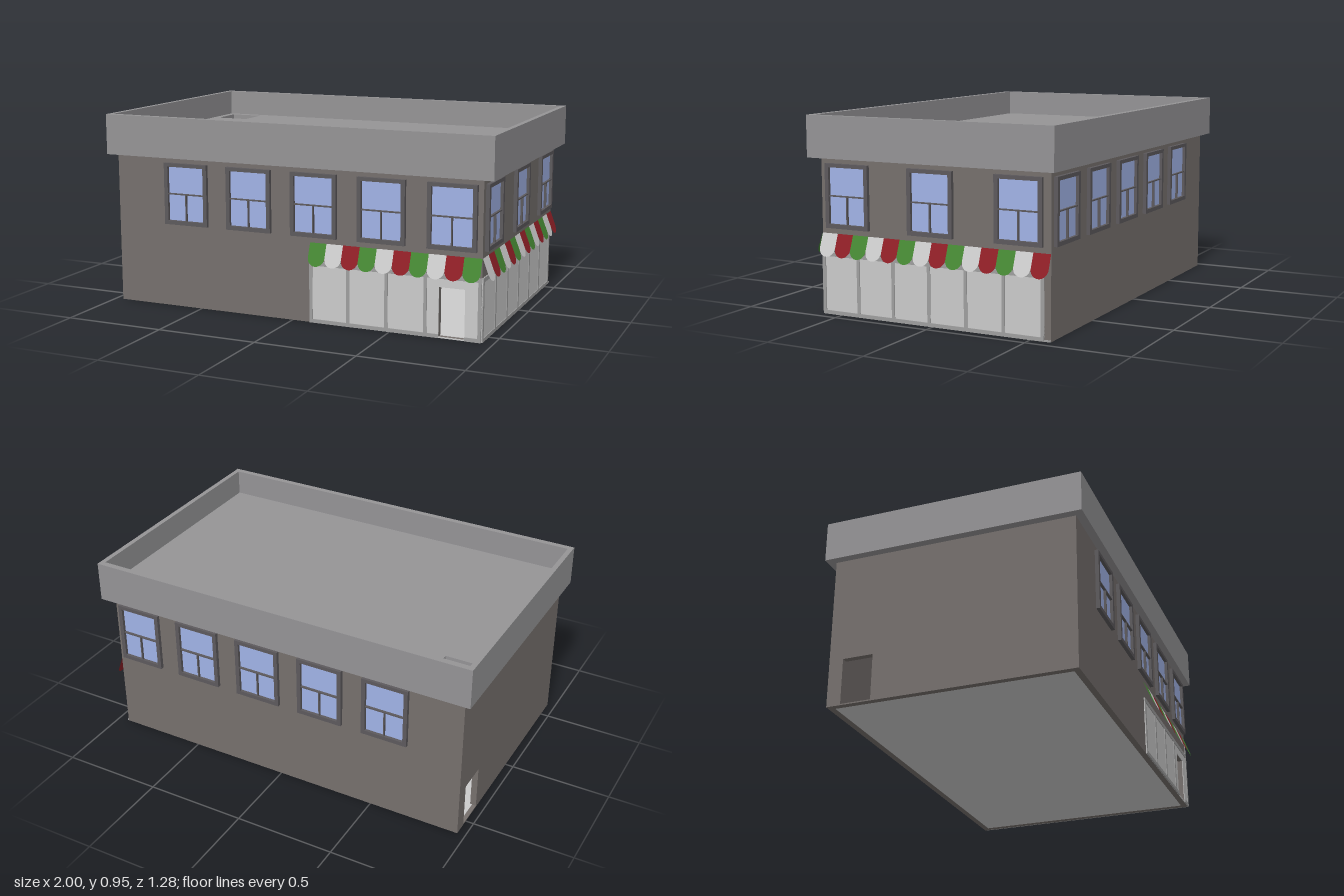
import * as THREE from 'three';

const paint = (color, side = THREE.FrontSide) => new THREE.MeshStandardMaterial({ color, side });
const MAT = {
  wall: paint(0x76706d), roof: paint(0x959496), windowFrame: paint(0x5d5a5d),
  glass: paint(0xa1b3e7), shopFrame: paint(0x9f9f9f), light: paint(0xcccccc),
  green: paint(0x458733, THREE.DoubleSide), white: paint(0xc6c6c6, THREE.DoubleSide),
  red: paint(0x8e1f26, THREE.DoubleSide),
};

function mesh(name, geometry, material, parent) {
  const m = new THREE.Mesh(geometry, material);
  m.name = name;
  parent.add(m);
  return m;
}

function group(name, parent) {
  const g = new THREE.Group();
  g.name = name;
  parent.add(g);
  return g;
}

// Box given by its limits
function box(name, [x0, x1], [y0, y1], [z0, z1], material, parent) {
  const m = mesh(name, new THREE.BoxGeometry(x1 - x0, y1 - y0, z1 - z0), material, parent);
  m.position.set((x0 + x1) / 2, (y0 + y1) / 2, (z0 + z1) / 2);
  return m;
}

const corners = ([x0, x1, y0, y1]) =>
  [[x0, y0], [x1, y0], [x1, y1], [x0, y1]].map(([x, y]) => new THREE.Vector2(x, y));

// Rectangular slab [x0, x1, y0, y1] with rectangular openings
function slab(rect, holes, depth) {
  const shape = new THREE.Shape(corners(rect));
  for (const h of holes) shape.holes.push(new THREE.Path(corners(h).reverse()));
  return new THREE.ExtrudeGeometry(shape, { depth, bevelEnabled: false });
}

// Wall group: local x runs along the wall, local z points outward
const THICK = 0.03;
function wall(name, rect, holes, position, turn, parent) {
  const g = group(name, parent);
  g.position.set(...position);
  g.rotation.y = turn;
  mesh(name + 'Panel', slab(rect, holes, THICK), MAT.wall, g).position.z = -THICK;
  return g;
}

// Sash window with one upper and two lower panes
function addWindow(x, parent) {
  const g = group('window', parent);
  g.position.set(x, 0.57, 0);
  mesh('windowFrame', slab([-0.118, 0.118, -0.153, 0.153], [[-0.098, 0.098, -0.133, 0.135]], 0.018),
    MAT.windowFrame, g);
  box('windowGlass', [-0.099, 0.099], [-0.134, 0.136], [-0.004, 0.003], MAT.glass, g);
  box('crossBar', [-0.098, 0.098], [-0.003, 0.003], [0.002, 0.015], MAT.windowFrame, g);
  box('lowerBar', [-0.003, 0.003], [-0.133, 0], [0.002, 0.015], MAT.windowFrame, g);
}

// Sloping awning made of round-ended strips
function addAwning(x0, x1, count, colors, parent) {
  const g = group('awning', parent);
  g.position.set(0, 0.39, 0.001);
  g.rotation.x = -0.364;
  const pitch = (x1 - x0) / count, r = pitch / 2;
  const shape = new THREE.Shape();
  shape.moveTo(r, 0);
  shape.lineTo(-r, 0);
  shape.lineTo(-r, -0.071);
  shape.absarc(0, -0.071, r, Math.PI, Math.PI * 2, false);
  const geometry = new THREE.ShapeGeometry(shape, 10);
  for (let i = 0; i < count; i++) {
    mesh('awningStrip', geometry, MAT[colors[i % 3]], g).position.x = x0 + (i + 0.5) * pitch;
  }
}

// Shop front: light panels behind thin posts and rails
function addShopFront(x0, x1, posts, doors, parent) {
  const g = group('shopFront', parent);
  mesh('shopPanels', slab([x0, x1, 0, 0.3], doors, 0.003), MAT.light, g);
  for (const x of posts) {
    box('shopPost', [x - 0.008, x + 0.008], [0, 0.3], [0, 0.007], MAT.shopFrame, g);
  }
  box('topRail', [x0, x1], [0.28, 0.3], [0, 0.007], MAT.shopFrame, g);
  // Bottom rail stops at the doorway
  let start = x0;
  for (const d of [...doors, [x1]]) {
    box('bottomRail', [start, d[0]], [0, 0.018], [0, 0.007], MAT.shopFrame, g);
    start = d[1];
  }
}

export function createModel() {
  const model = new THREE.Group();
  model.name = 'cornerShop';
  const L = -0.96, R = 0.943, D = 0.6, H = 0.75;

  // Four walls around a hollow interior
  const frontDoor = [0.74, 0.865, 0.006, 0.24];
  const front = wall('frontWall', [L, R, 0, H], [frontDoor], [0, 0, D], 0, model);
  const back = wall('backWall', [-R, -L, 0, H], [], [0, 0, -D], Math.PI, model);
  const inner = D - THICK;
  const right = wall('rightWall', [-inner, inner, 0, H], [], [R, 0, 0], Math.PI / 2, model);
  wall('leftWall', [-inner, inner, 0, H], [[-0.53, -0.38, 0.006, 0.23]], [L, 0, 0], -Math.PI / 2, model);
  box('floor', [L + 0.02, R - 0.02], [0.001, 0.008], [-D + 0.02, D - 0.02], MAT.light, model);

  // Roof deck with hatch, and the overhanging parapet
  const deck = mesh('roofDeck', slab([-0.975, 0.975, -0.61, 0.61], [[-0.94, -0.77, 0.4, 0.57]], 0.07),
    MAT.roof, model);
  const parapet = mesh('parapet', slab([-1, 1, -0.64, 0.64], [[-0.975, 0.975, -0.61, 0.61]], 0.2),
    MAT.roof, model);
  for (const part of [deck, parapet]) {
    part.rotation.x = -Math.PI / 2;
    part.position.y = H;
  }

  // Upper windows
  for (const x of [-0.57, -0.227, 0.115, 0.458, 0.8]) {
    addWindow(x, front);
    addWindow(-x, back);
  }
  for (const z of [0.452, 0.003, -0.445]) addWindow(-z, right);

  // Shop fronts and awnings on the front and right sides
  addShopFront(0.092, R, [0.1, 0.291, 0.483, 0.675, R - 0.008], [frontDoor], front);
  const posts = Array.from({ length: 7 }, (_, i) => -0.592 + i * 0.192);
  addShopFront(-D, 0.568, posts, [], right);
  box('rearSill', [0.568, D], [0, 0.008], [0, 0.005], MAT.shopFrame, right);
  addAwning(0.095, R, 10, ['green', 'white', 'red'], front);
  addAwning(-D, D, 14, ['white', 'red', 'green'], right);

  return model;
}
